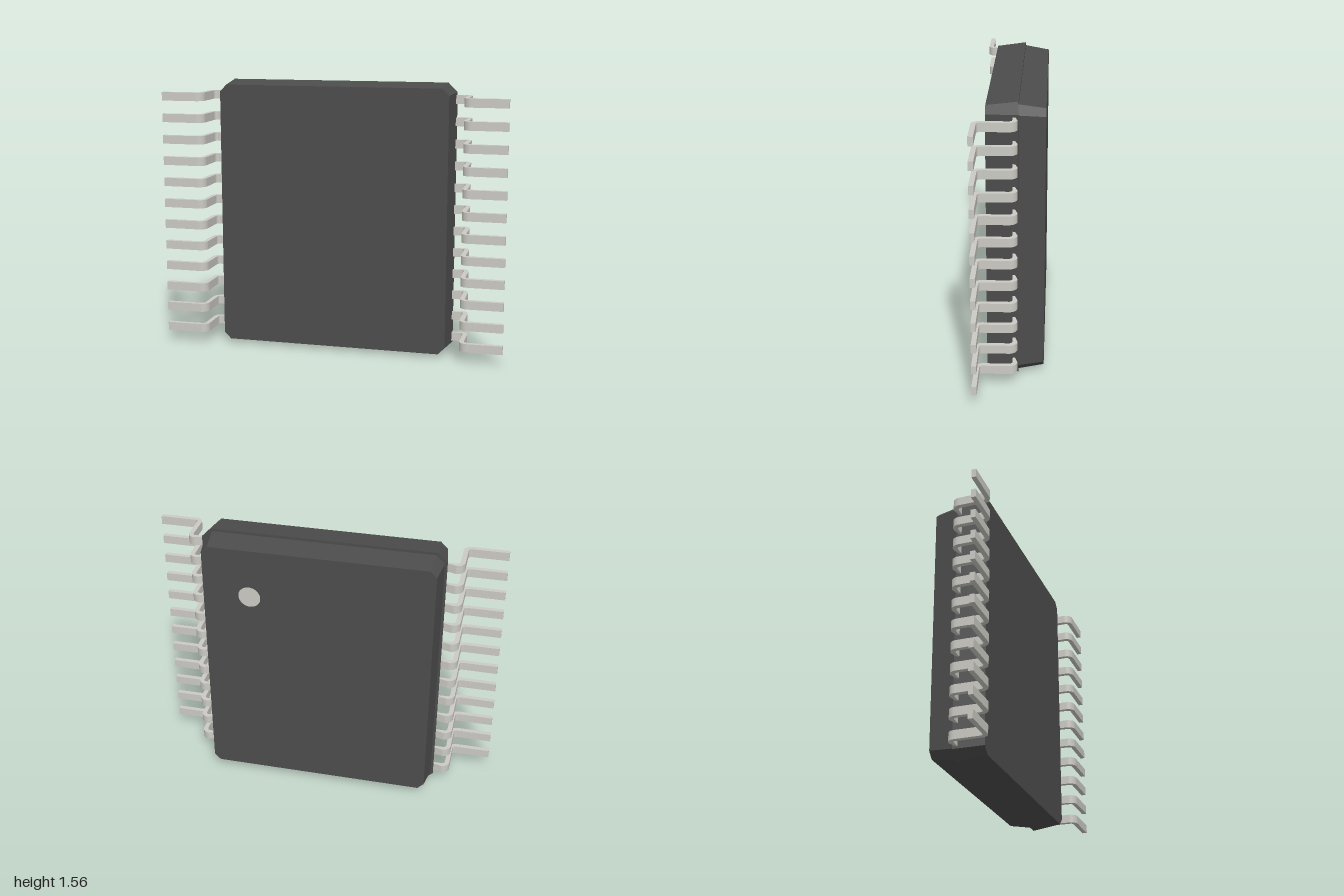
import * as THREE from 'three';

const CY = 0.782; // height of the body's centre
const DOT = { x: 0.385, y: 1.235, r: 0.064, depth: 0.008 };

const bodyMat = new THREE.MeshStandardMaterial({ color: 0x4c4c4c, flatShading: true });
const metalMat = new THREE.MeshStandardMaterial({ color: 0xcbcac4 });

// Rectangle with cut corners, counter-clockwise; w and h are half sizes
function octagon(w, h, c) {
  return [[w, -h + c], [w, h - c], [w - c, h], [-w + c, h],
    [-w, h - c], [-w, -h + c], [-w + c, -h], [w - c, -h]]
    .map(([x, y]) => new THREE.Vector2(x, y + CY));
}

// Flat cap at depth z, facing +z or -z
function cap(loop, z, back, hole) {
  const shape = new THREE.Shape(loop);
  if (hole) shape.holes.push(hole);
  const geo = new THREE.ShapeGeometry(shape, 24).toNonIndexed();
  const pos = geo.attributes.position;
  if (back) {
    // swap two corners of each triangle so that it faces backwards
    for (let i = 0; i < pos.count; i += 3) {
      const b = new THREE.Vector3().fromBufferAttribute(pos, i + 1);
      const c = new THREE.Vector3().fromBufferAttribute(pos, i + 2);
      pos.setXYZ(i + 1, c.x, c.y, c.z);
      pos.setXYZ(i + 2, b.x, b.y, b.z);
    }
  }
  geo.translate(0, 0, z);
  geo.computeVertexNormals();
  return geo;
}

// Sloping band between loop a (at za) and loop b (at zb), za < zb
function band(a, za, b, zb) {
  const p = [];
  a.forEach((a0, i) => {
    const j = (i + 1) % a.length;
    const A = [a0.x, a0.y, za], B = [a[j].x, a[j].y, za];
    const C = [b[j].x, b[j].y, zb], D = [b[i].x, b[i].y, zb];
    p.push(...A, ...B, ...C, ...A, ...C, ...D);
  });
  const geo = new THREE.BufferGeometry();
  geo.setAttribute('position', new THREE.Float32BufferAttribute(p, 3));
  geo.computeVertexNormals();
  return geo;
}

function half(name, rear, zr, front, zf, hole) {
  const g = new THREE.Group();
  g.name = name;
  const parts = {
    Sides: band(rear, zr, front, zf),
    FrontFace: cap(front, zf, false),
    BackFace: cap(rear, zr, true, hole),
  };
  for (const key in parts) {
    const mesh = new THREE.Mesh(parts[key], bodyMat);
    mesh.name = name + key;
    g.add(mesh);
  }
  return g;
}

// Gull-wing pin outline in x and z, extruded along its width
function pinGeometry(width) {
  const t = 0.027, ri = 0.018, ro = ri + t;
  const top = -0.0445, bottom = 0.187, x1 = 0.778, x0 = x1 - t, P = Math.PI;
  const s = new THREE.Shape();
  s.moveTo(0.64, top);
  s.absarc(x1 - ro, top + ro, ro, -P / 2, 0, false);
  s.absarc(x1 + ri, bottom - ro, ri, P, P / 2, true);
  s.lineTo(1, bottom - t);
  s.lineTo(1, bottom);
  s.absarc(x0 + ro, bottom - ro, ro, P / 2, P, false);
  s.absarc(x0 - ri, top + ro, ri, 0, -P / 2, true);
  s.lineTo(0.64, top + t);
  const geo = new THREE.ExtrudeGeometry(s, { depth: width, bevelEnabled: false, curveSegments: 8 });
  geo.translate(0, 0, -width / 2);
  geo.rotateX(Math.PI / 2); // outline y becomes z
  return geo;
}

export function createModel() {
  const model = new THREE.Group();
  model.name = 'chip';

  // Moulded body: two tapered halves meeting at a small ledge
  const hole = new THREE.Path().absarc(DOT.x, DOT.y, DOT.r, 0, Math.PI * 2, true);
  model.add(
    half('frontHalf', octagon(0.687, 0.782, 0.053), -0.046, octagon(0.665, 0.76, 0.039), 0.124),
    half('backHalf', octagon(0.65, 0.743, 0.036), -0.187, octagon(0.672, 0.766, 0.046), -0.046, hole),
  );

  // Shallow round marker that shows which pin is first
  const wall = new THREE.Mesh(
    new THREE.CylinderGeometry(DOT.r, DOT.r, DOT.depth, 48, 1, true).rotateX(Math.PI / 2),
    new THREE.MeshStandardMaterial({ color: 0x4c4c4c, side: THREE.DoubleSide }));
  wall.name = 'markerRim';
  wall.position.set(DOT.x, DOT.y, -0.187 + DOT.depth / 2);
  const dot = new THREE.Mesh(new THREE.CircleGeometry(DOT.r, 48).rotateY(Math.PI), metalMat);
  dot.name = 'marker';
  dot.position.set(DOT.x, DOT.y, -0.187 + DOT.depth);
  model.add(wall, dot);

  // Twelve pins on each side; the right row is the left one turned over
  const pin = pinGeometry(0.049);
  const mirrored = pin.clone().scale(-1, 1, 1);
  const pos = mirrored.attributes.position, nor = mirrored.attributes.normal;
  for (const attr of [pos, nor]) {
    for (let i = 0; i < attr.count; i += 3) {
      const b = new THREE.Vector3().fromBufferAttribute(attr, i + 1);
      const c = new THREE.Vector3().fromBufferAttribute(attr, i + 2);
      attr.setXYZ(i + 1, c.x, c.y, c.z);
      attr.setXYZ(i + 2, b.x, b.y, b.z);
    }
  }
  for (const [name, geo] of [['leftPins', pin], ['rightPins', mirrored]]) {
    const row = new THREE.Group();
    row.name = name;
    for (let i = 0; i < 12; i++) {
      const mesh = new THREE.Mesh(geo, metalMat);
      mesh.name = 'pin' + (i + 1);
      mesh.position.y = CY + (i - 5.5) * 0.1255;
      row.add(mesh);
    }
    model.add(row);
  }
  return model;
}
